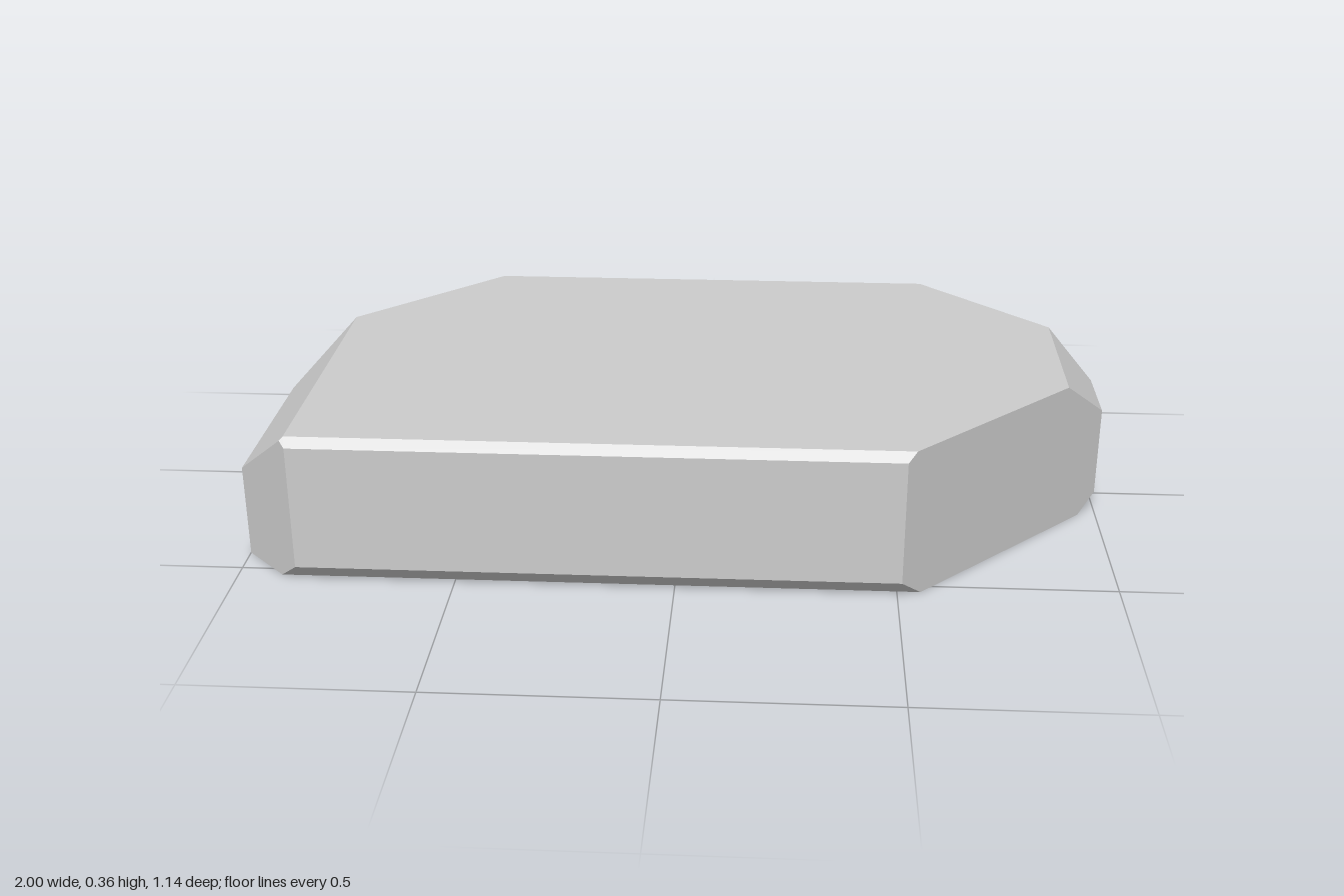
import * as THREE from 'three';
import { ConvexGeometry } from 'three/addons/geometries/ConvexGeometry.js';

const HEIGHT = 0.36;

// Each side of the slab: its reach, and the reach of its 45 degree bevels
// at the bottom edge (y = 0) and the top edge (extended down to y = 0).
const reach = (full, bottom, top) => (y) => Math.min(full, bottom + y, top - y);
const left = reach(1, 0.957, 1.26); // +x
const right = reach(1, 1, 1.22); // -x, no bottom bevel
const front = reach(0.572, 0.527, 0.912); // +z
const back = reach(0.572, 0.543, 0.874); // -z

// Diagonal corner cuts: |x| + |z| may not exceed cut
const corners = [
  { sx: 1, sz: 1, x: left, z: front, cut: 1.08 },
  { sx: 1, sz: -1, x: left, z: back, cut: 1.108 },
  { sx: -1, sz: -1, x: right, z: back, cut: 1.042 },
  { sx: -1, sz: 1, x: right, z: front, cut: 1.427 },
];

// Heights where a bevel starts or ends
const levels = [0, 0.029, 0.043, 0.045, 0.22, 0.26, 0.302, 0.34, 0.3525, HEIGHT];

export function createModel() {
  const group = new THREE.Group();
  const points = [];
  for (const y of levels) {
    for (const { sx, sz, x, z, cut } of corners) {
      const X = x(y), Z = z(y);
      if (X + Z > cut + 1e-4) {
        points.push(new THREE.Vector3(sx * X, y, sz * (cut - X)));
        points.push(new THREE.Vector3(sx * (cut - Z), y, sz * Z));
      } else {
        points.push(new THREE.Vector3(sx * X, y, sz * Z));
      }
    }
  }
  const slab = new THREE.Mesh(
    new ConvexGeometry(points),
    new THREE.MeshStandardMaterial({ color: 0xcccccc, flatShading: true })
  );
  slab.name = 'bevelledStoneSlab';
  group.add(slab);
  return group;
}
